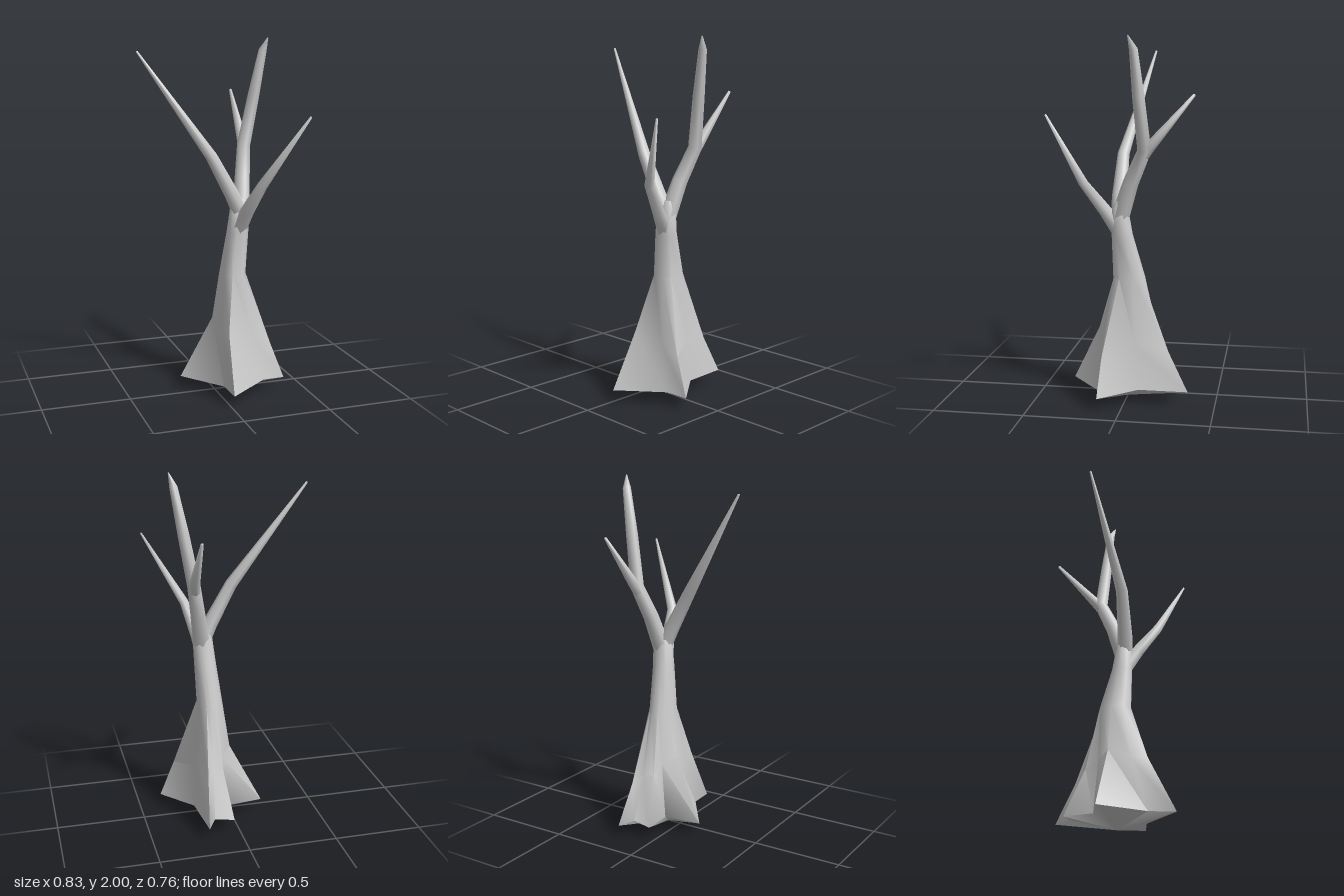
import * as THREE from 'three';
import { toCreasedNormals } from 'three/addons/utils/BufferGeometryUtils.js';

const V = (p) => new THREE.Vector3(...p);

// Skin a list of equal-length rings, each given clockwise as seen from its far end
function loft(rings, crease) {
  const n = rings[0].length, index = [];
  for (let r = 0; r < rings.length - 1; r++) {
    for (let i = 0; i < n; i++) {
      const a = r * n + i, b = r * n + (i + 1) % n;
      index.push(a, a + n, b + n, a, b + n, b);
    }
  }
  const geo = new THREE.BufferGeometry().setFromPoints(rings.flat());
  geo.setIndex(index);
  return toCreasedNormals(geo, crease);
}

// Round ring of radius r about c, square to direction dir
function ringAt(c, dir, r, sides) {
  const u = new THREE.Vector3(0, 0, 1).addScaledVector(dir, -dir.z).normalize();
  const w = new THREE.Vector3().crossVectors(dir, u);
  return Array.from({ length: sides }, (_, i) => {
    const t = -i / sides * Math.PI * 2;
    return c.clone().addScaledVector(u, r * Math.cos(t)).addScaledVector(w, r * Math.sin(t));
  });
}

// Tapered limb along path points [x, y, z, radius]
function limb(path, sides = 6) {
  const pts = path.map((p) => V(p));
  const rings = path.map((p, i) => {
    const dir = pts[Math.min(i + 1, pts.length - 1)].clone()
      .sub(pts[Math.max(i - 1, 0)]).normalize();
    return ringAt(pts[i], dir, p[3], sides);
  });
  return loft(rings, 1.3);
}

export function createModel() {
  const group = new THREE.Group();
  const material = new THREE.MeshStandardMaterial({ color: 0xcccccc, side: THREE.DoubleSide });
  const add = (name, geo) => {
    const mesh = new THREE.Mesh(geo, material);
    mesh.name = name;
    group.add(mesh);
  };

  // Star of root tips and valleys, then the same ridges part way up the flare
  const foot = [
    [-0.18, 0.07, -0.08], [0.025, 0.08, -0.12], [0.03, 0.07, -0.28], [0.14, 0.08, -0.265],
    [0.19, 0.07, -0.35], [0.22, 0.08, -0.08], [0.38, 0.07, 0.125], [0.25, 0.075, 0.14],
    [0.01, 0.07, 0.32], [0, 0.075, 0.17],
  ].map(V);
  const flare = [
    [0.0, 0.42, -0.04], [0.06, 0.38, -0.1], [0.07, 0.34, -0.17], [0.13, 0.33, -0.19],
    [0.17, 0.29, -0.24], [0.21, 0.33, -0.06], [0.3, 0.28, 0.11], [0.19, 0.33, 0.12],
    [0.03, 0.38, 0.17], [0.02, 0.38, 0.08],
  ].map(V);
  // Upper trunk rings follow the order of the root ridges
  const angles = [190, 224, 252, 274, 298, 335, 28, 60, 112, 148];
  const oval = (x, y, z, rx, rz) => angles.map((d) => {
    const t = d * Math.PI / 180;
    return new THREE.Vector3(x + rx * Math.cos(t), y, z + rz * Math.sin(t));
  });
  add('trunk', loft([
    foot.map(() => new THREE.Vector3(0.08, 0, 0)),
    foot, flare,
    oval(0.11, 0.69, -0.01, 0.073, 0.093),
    oval(0.128, 0.93, 0.025, 0.062, 0.06),
    oval(0.14, 1.08, 0.035, 0.056, 0.045),
    oval(0.15, 1.12, 0.025, 0.03, 0.03),
  ], 1.1));

  // Limbs start inside the trunk or the limb that carries them
  const branches = {
    mainBranch: [[0.142, 1.02, 0.035, 0.05], [0.175, 1.22, -0.03, 0.043], [0.212, 1.4, -0.11, 0.038],
      [0.26, 1.68, -0.085, 0.033], [0.305, 1.93, -0.065, 0.023], [0.325, 2.0, -0.038, 0.003]],
    rightBranch: [[0.14, 1.03, 0.04, 0.045], [0.09, 1.14, 0.045, 0.042], [-0.03, 1.36, 0.042, 0.034],
      [-0.41, 1.93, -0.09, 0.006], [-0.411, 1.932, -0.09, 0]],
    frontBranch: [[0.13, 0.95, 0.04, 0.045], [0.155, 1.06, 0.11, 0.038], [0.2, 1.22, 0.225, 0.028],
      [0.41, 1.595, 0.377, 0.006], [0.411, 1.598, 0.378, 0]],
    backBranch: [[0.2, 1.34, -0.085, 0.03], [0.215, 1.42, -0.14, 0.03],
      [0.225, 1.695, -0.375, 0.008], [0.225, 1.698, -0.378, 0]],
  };
  for (const [name, path] of Object.entries(branches)) add(name, limb(path));

  return group;
}
